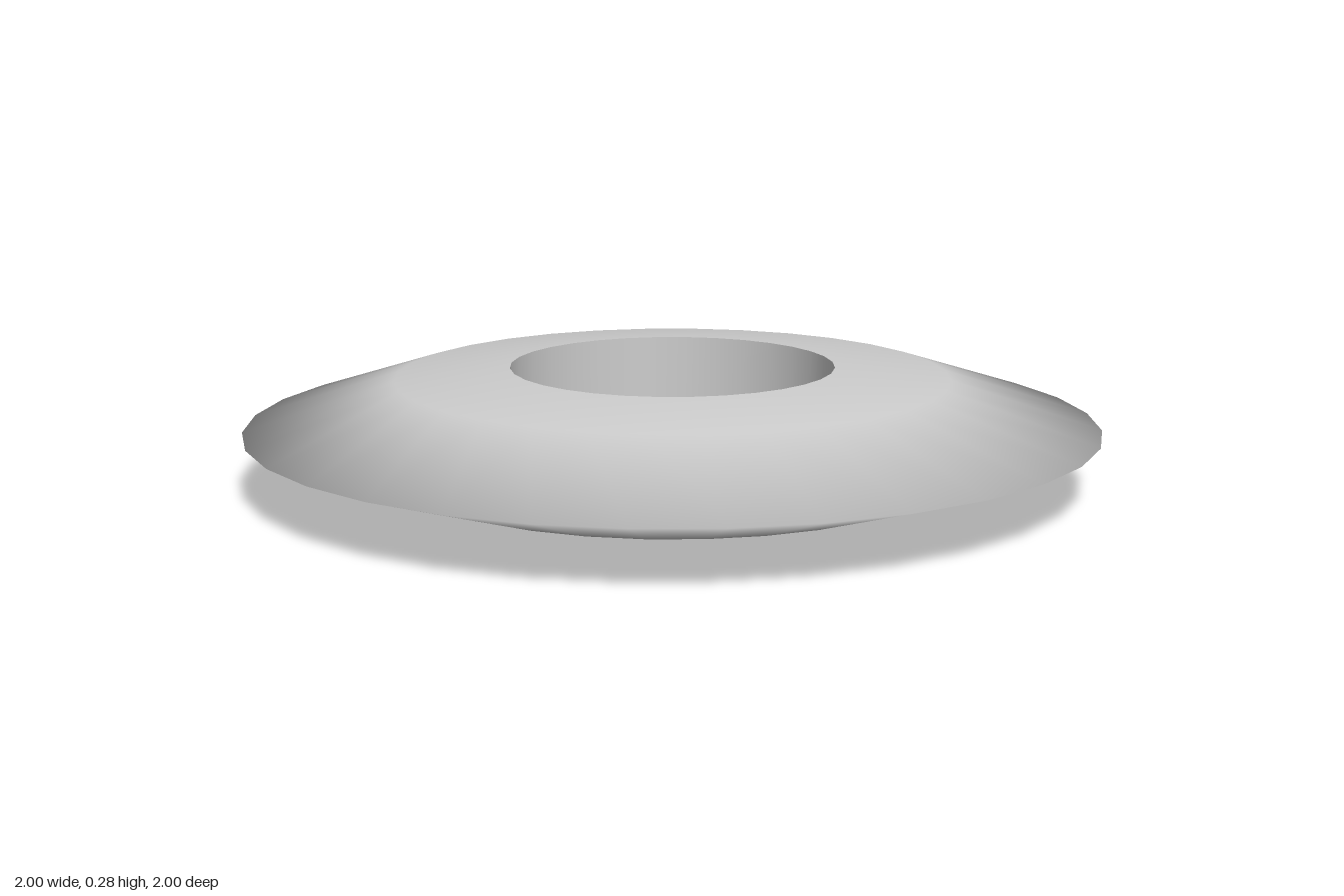
import * as THREE from 'three';

const SIDES = 32;
const HOLE = 0.38;
const HEIGHT = 0.276;

// Revolve a [radius, y] profile around the y axis
function revolve(name, profile, material) {
  const points = profile.map(([r, y]) => new THREE.Vector2(r, y));
  const mesh = new THREE.Mesh(new THREE.LatheGeometry(points, SIDES), material);
  mesh.name = name;
  return mesh;
}

export function createModel() {
  const group = new THREE.Group();
  group.name = 'ringDisc';
  const material = new THREE.MeshStandardMaterial({ color: 0xcccccc });

  // Tapered body: underside, thin outer rim, upper side, shaded smoothly
  const lower = [[HOLE, 0], [0.65, 0.025], [1, HEIGHT / 2]];
  const upper = lower.slice(0, 2).reverse().map(([r, y]) => [r, HEIGHT - y]);
  group.add(revolve('discBody', [...lower, ...upper], material));

  // Straight wall of the centre hole, facing inward with sharp edges
  group.add(revolve('holeWall', [[HOLE, HEIGHT], [HOLE, 0]], material));

  return group;
}
